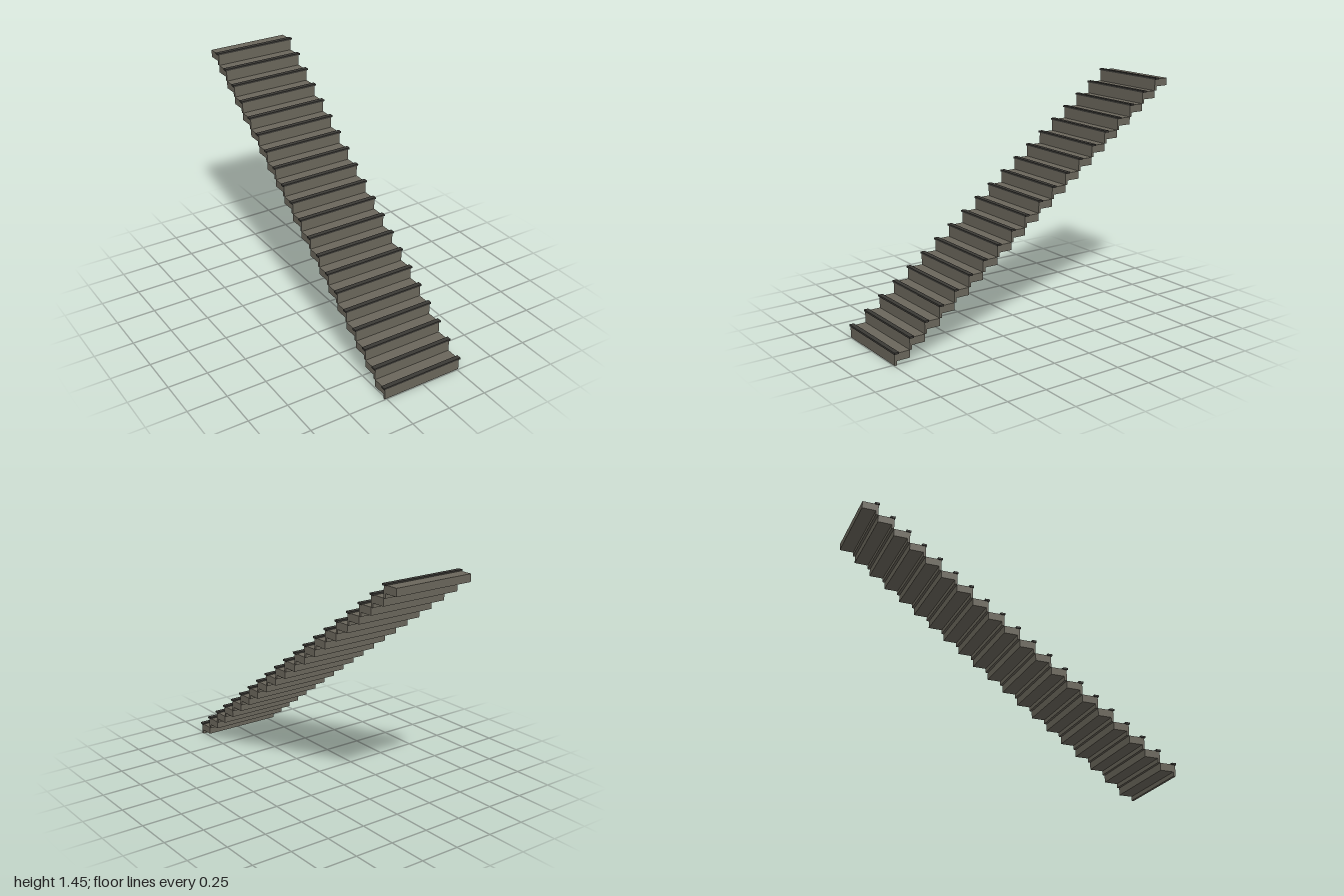
import * as THREE from 'three';

const STEPS = 20;
const RISE = 0.072;
const LIP = 0.004; // how far the nosing overhangs the tread
const RUN = (2 - LIP) / STEPS;
const WIDTH = 0.522;
const TREAD_H = 0.046;
const RISER_D = 0.015;

const stone = new THREE.MeshStandardMaterial({ color: 0x6a665b });
const dark = new THREE.MeshStandardMaterial({ color: 0x3a3935 });

// Box given by its front face z and bottom y
function slab(name, material, width, height, depth, bottom, front) {
  const mesh = new THREE.Mesh(new THREE.BoxGeometry(width, height, depth), material);
  mesh.name = name;
  mesh.position.set(0, bottom + height / 2, front - depth / 2);
  return mesh;
}

export function createModel() {
  const stairs = new THREE.Group();
  stairs.name = 'staircase';

  for (let i = 0; i < STEPS; i++) {
    const step = new THREE.Group();
    step.name = `step${i + 1}`;
    step.position.set(0, i * RISE, 1 - LIP - i * RUN);

    // Riser below the tread, tread, and the wider grip strip on its front edge
    step.add(
      slab('riser', stone, WIDTH, RISE - TREAD_H, RISER_D, 0, 0),
      slab('tread', stone, WIDTH, TREAD_H, RUN, RISE - TREAD_H, 0),
      slab('nosing', dark, 0.538, 0.011, 0.029, RISE - 0.003, LIP)
    );
    stairs.add(step);
  }
  return stairs;
}
